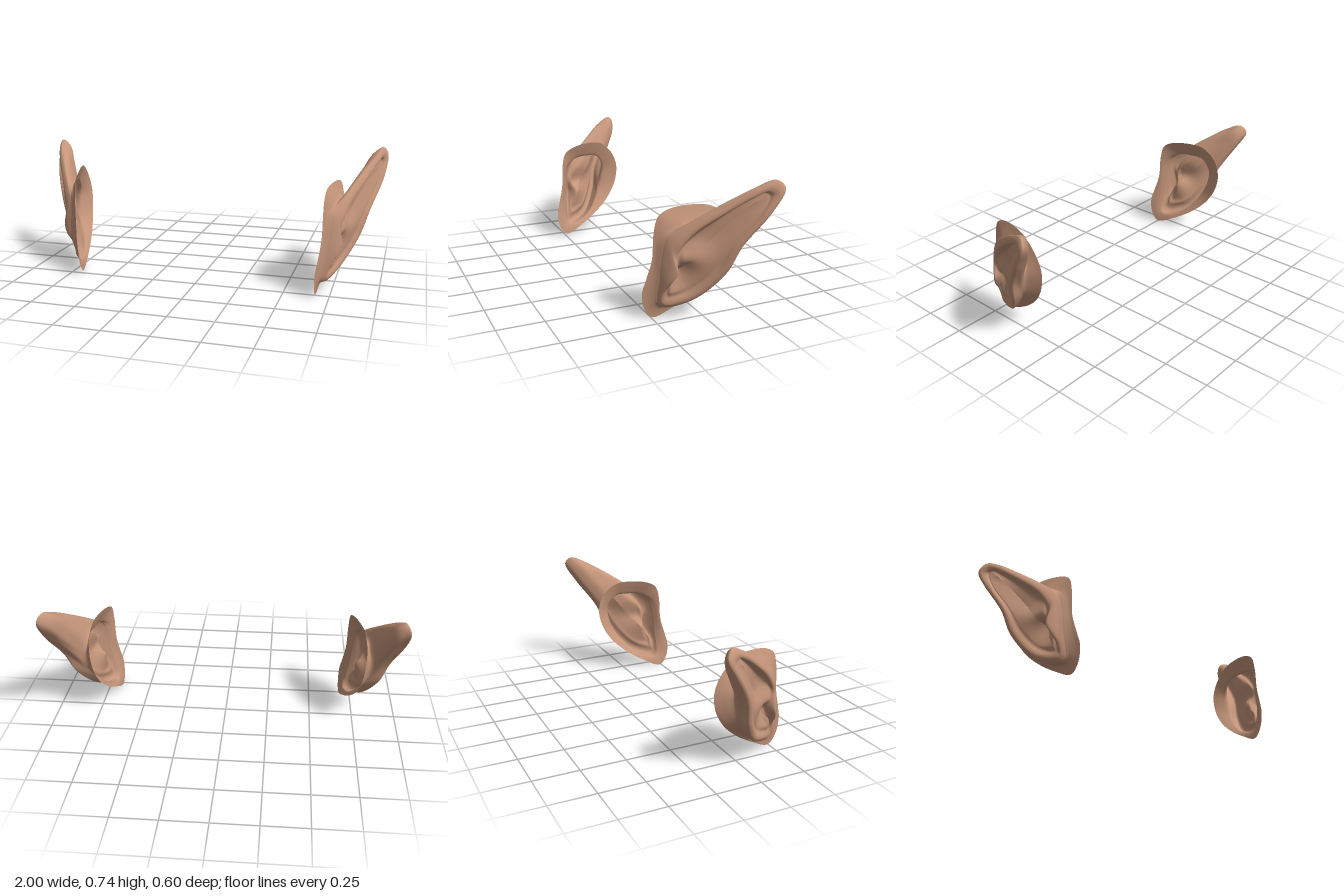
import * as THREE from 'three';

// Closed outlines of the left ear as [z, y, x], from the bottom up the front, over the top and down the back
const SKIRT = [
  [.24, .0, .672], [.285, .05, .67], [.30, .14, .675], [.285, .21, .686], [.258, .32, .698], [.25, .46, .70],
  [.228, .54, .703], [.17, .575, .71], [.05, .59, .736], [-.04, .575, .755], [-.12, .51, .764], [-.155, .42, .759],
  [-.142, .32, .75], [-.09, .22, .735], [.0, .13, .712], [.13, .045, .688]];
const NECK = [
  [.21, .058, .69], [.235, .085, .694], [.245, .14, .70], [.243, .22, .71], [.235, .32, .718], [.215, .44, .728],
  [.175, .475, .745], [.12, .495, .762], [.04, .50, .775], [-.02, .495, .785], [-.06, .46, .79], [-.08, .41, .80],
  [-.075, .35, .80], [-.05, .27, .79], [.0, .19, .76], [.11, .085, .71]];
const RIM = [
  [.20, .065, .715], [.225, .085, .705], [.230, .14, .714], [.226, .22, .73], [.22, .32, .74], [.20, .43, .753],
  [.165, .475, .772], [.08, .54, .815], [-.05, .628, .88], [-.17, .70, .94], [-.262, .735, .968], [-.296, .695, .99],
  [-.235, .58, .98], [-.12, .41, .92], [-.062, .26, .87], [.065, .11, .78]];
const INNER = [
  [.195, .10, .735], [.205, .11, .73], [.205, .16, .743], [.185, .22, .783], [.165, .27, .80], [.17, .35, .785],
  [.150, .40, .798], [.09, .475, .825], [-.03, .57, .885], [-.15, .65, .94], [-.222, .682, .968], [-.243, .665, .978],
  [-.195, .57, .968], [-.09, .41, .912], [-.03, .27, .862], [.08, .14, .785]];
const FLOOR = [
  [.175, .155, .748], [.18, .17, .748], [.18, .19, .748], [.165, .22, .747], [.15, .27, .747], [.135, .335, .795],
  [.125, .395, .79], [.07, .45, .80], [-.03, .54, .85], [-.13, .62, .905], [-.205, .665, .948], [-.22, .65, .957],
  [-.175, .56, .947], [-.065, .41, .885], [.01, .28, .833], [.10, .18, .768]];
// Centre line of the bowl, and where along it each outline point ends
const SPINE = [[.15, .20, .745], [.13, .268, .745], [.08, .33, .808], [.01, .42, .82], [-.07, .52, .868], [-.165, .625, .932]];
const SPINE_AT = [0, 0, .05, .1, .2, .35, .5, .62, .78, .92, 1, 1, .88, .62, .35, .1];

const N = 16, AROUND = 144, STEPS = 5;
const toVectors = (list) => list.map(([z, y, x]) => new THREE.Vector3(x, y, z));

// In-between outline: a blend of two others, pushed along x
function between(a, b, t, push) {
  return a.map((p, i) => {
    const q = p.clone().lerp(b[i], t);
    q.x += push(p.distanceTo(b[i]));
    return q;
  });
}

// The right ear is a mirror image whose tip is set a little lower and further forward
function toRight(p) {
  const w = THREE.MathUtils.clamp((p.x - .75) / .22, 0, 1);
  const x = p.x + .01 + .02 * (1 - w) * (.29 - p.z) / .45;
  const y = p.y - .028 * w + .01 * (1 - w) * (1 - p.y / .6);
  return new THREE.Vector3(-x, y, p.z + .09 * w);
}

function earGeometry(right) {
  const [skirt, neck, rim, inner, floor, spinePts] = [SKIRT, NECK, RIM, INNER, FLOOR, SPINE].map(toVectors);
  const loops = [
    skirt,
    between(skirt, neck, .55, () => -.003),
    neck,
    between(neck, rim, .45, (d) => -.04 * d),
    between(neck, rim, .85, (d) => -.08 * d),
    rim,
    between(rim, inner, .5, (d) => Math.min(.01, .16 * d)),
    inner,
    between(inner, floor, .5, () => -.006),
    floor,
  ].map((pts) => new THREE.CatmullRomCurve3(pts, true, 'centripetal'));
  const spine = new THREE.CatmullRomCurve3(spinePts);

  const rows = loops.length * STEPS + 1;
  const pos = [], index = [];
  for (let i = 0; i < AROUND; i++) {
    const u = i / AROUND, k = Math.floor(u * N), f = u * N - k;
    const s = THREE.MathUtils.lerp(SPINE_AT[k], SPINE_AT[(k + 1) % N], f);
    // One smooth strip from the skirt edge over the rim to the bowl's centre line
    const strip = new THREE.CatmullRomCurve3([...loops.map((c) => c.getPoint(u)), spine.getPoint(s)]);
    for (let j = 0; j < rows; j++) {
      const p = strip.getPoint(j / (rows - 1));
      const q = right ? toRight(p) : p;
      pos.push(q.x, q.y, q.z);
    }
  }
  for (let i = 0; i < AROUND; i++) {
    for (let j = 0; j < rows - 1; j++) {
      const a = i * rows + j, b = ((i + 1) % AROUND) * rows + j;
      if (right) index.push(a, b, a + 1, b, b + 1, a + 1);
      else index.push(a, a + 1, b, b, a + 1, b + 1);
    }
  }
  const g = new THREE.BufferGeometry();
  g.setAttribute('position', new THREE.Float32BufferAttribute(pos, 3));
  g.setIndex(index);
  g.computeVertexNormals();
  return g;
}

export function createModel() {
  const group = new THREE.Group();
  group.name = 'pointedEars';
  const skin = new THREE.MeshStandardMaterial({ color: 0xc4957a, side: THREE.DoubleSide });
  for (const right of [false, true]) {
    const ear = new THREE.Mesh(earGeometry(right), skin);
    ear.name = right ? 'rightEar' : 'leftEar';
    group.add(ear);
  }
  return group;
}
